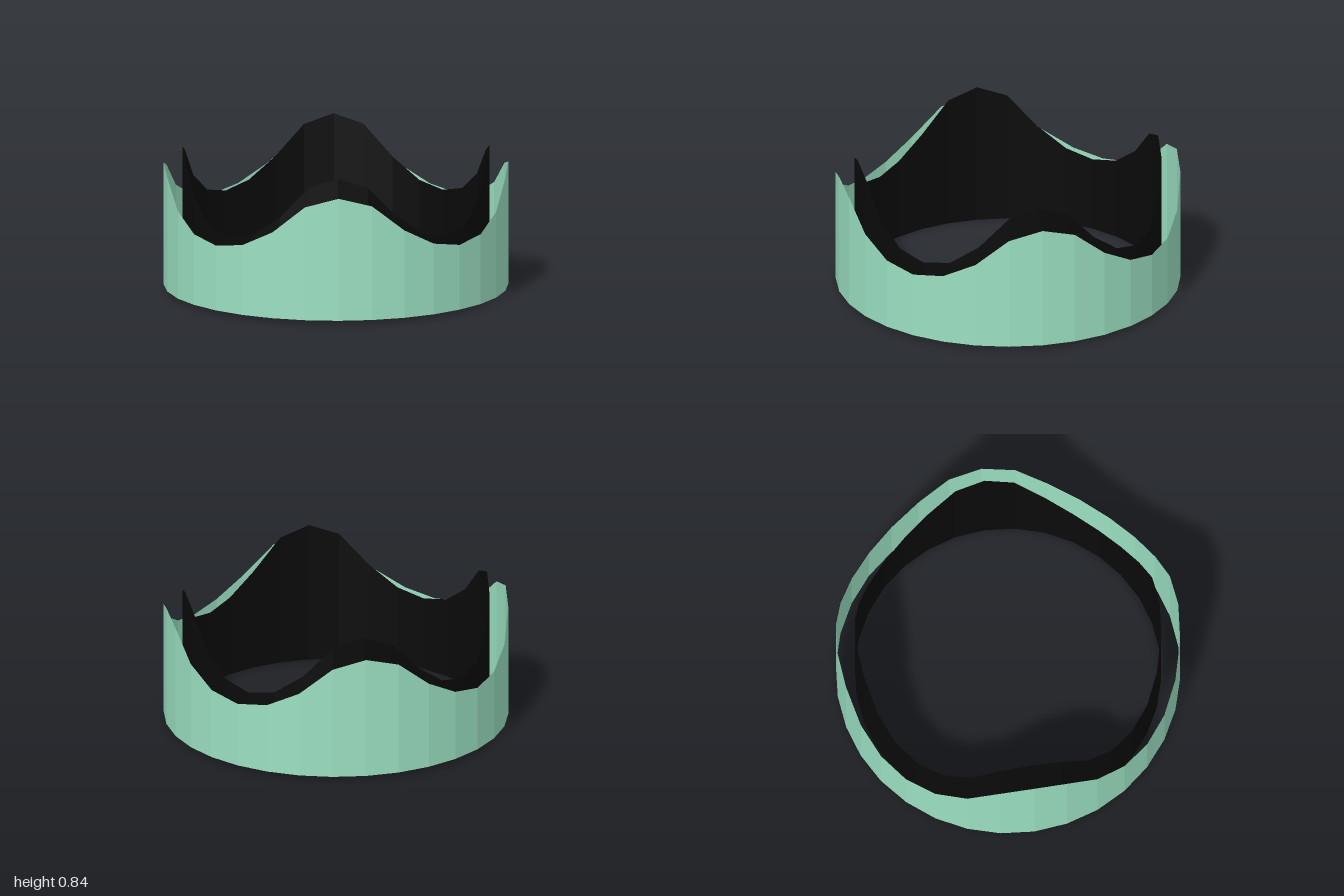
import * as THREE from 'three';

const SEGMENTS = 32;

// Open band whose top edge follows a wave repeated every quarter turn
function waveBand(name, radius, bottom, heights, material) {
  const geometry = new THREE.CylinderGeometry(radius, radius, 1, SEGMENTS, 1, true);
  const pos = geometry.attributes.position;
  for (let i = 0; i < pos.count; i++) {
    const step = i % (SEGMENTS + 1);
    pos.setY(i, pos.getY(i) > 0 ? heights[step % heights.length] : bottom);
  }
  geometry.computeVertexNormals();
  const mesh = new THREE.Mesh(geometry, material);
  mesh.name = name;
  return mesh;
}

export function createModel() {
  const green = new THREE.MeshStandardMaterial({ color: 0x9be0c2, side: THREE.DoubleSide, flatShading: true });
  green.name = 'mint green';
  const black = new THREE.MeshStandardMaterial({ color: 0x0a0a0a, side: THREE.DoubleSide, flatShading: true });
  black.name = 'black';

  const group = new THREE.Group();
  group.name = 'wavyRing';
  // Heights over one quarter turn, starting at the front valley
  group.add(
    waveBand('outerBand', 1, 0.02, [0.405, 0.435, 0.53, 0.69, 0.745, 0.695, 0.54, 0.44], green),
    waveBand('innerBand', 0.89, 0, [0.44, 0.475, 0.595, 0.78, 0.84, 0.78, 0.6, 0.48], black)
  );
  return group;
}
